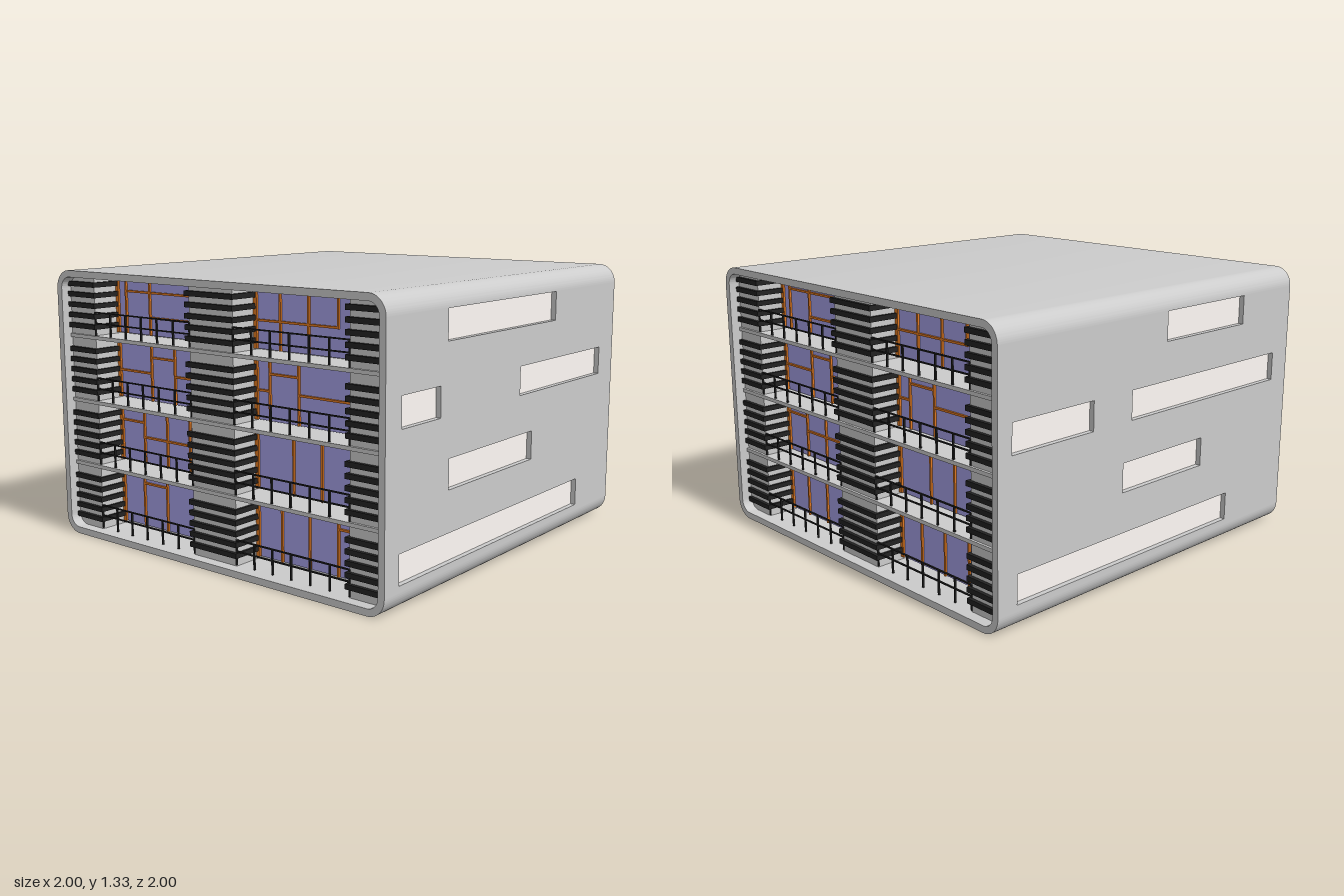
import * as THREE from 'three';
import { toCreasedNormals } from 'three/addons/utils/BufferGeometryUtils.js';

const H = 1.325, R = 0.09, T = 0.033; // shell height, corner radius, wall thickness
const mat = (color) => new THREE.MeshStandardMaterial({ color });
const M = {
  grey: mat(0xcccccc), pane: mat(0xfffaf6), glass: mat(0xa49fe6),
  frame: mat(0xe07820), dark: mat(0x222222),
};

function add(parent, name, geo, material) {
  const mesh = new THREE.Mesh(geo, material);
  mesh.name = name;
  parent.add(mesh);
  return mesh;
}

// Box given by its extents on each axis
function box(parent, name, material, [x0, x1], [y0, y1], [z0, z1]) {
  const mesh = add(parent, name, new THREE.BoxGeometry(x1 - x0, y1 - y0, z1 - z0), material);
  mesh.position.set((x0 + x1) / 2, (y0 + y1) / 2, (z0 + z1) / 2);
  return mesh;
}

// Roof slab with rounded edges, extruded along x (also used upside down as the base)
function capGeometry() {
  const s = new THREE.Shape(), r = R - T, c = 1 - R;
  s.moveTo(1, -R);
  s.absarc(c, -R, R, 0, Math.PI / 2, false);
  s.lineTo(-c, 0);
  s.absarc(-c, -R, R, Math.PI / 2, Math.PI, false);
  s.lineTo(-1 + T, -R);
  s.absarc(-c, -R, r, Math.PI, Math.PI / 2, true);
  s.lineTo(c, -T);
  s.absarc(c, -R, r, Math.PI / 2, 0, true);
  s.closePath();
  const g = new THREE.ExtrudeGeometry(s, { depth: 2, bevelEnabled: false, curveSegments: 16 });
  g.translate(0, 0, -1).rotateY(Math.PI / 2);
  return toCreasedNormals(g, 0.6);
}

// Side wall facing +z with strip windows: [x0, x1, y0, y1]
function sideWall(name, windows) {
  const wall = new THREE.Group();
  wall.name = name;
  const s = new THREE.Shape();
  s.moveTo(-1, R).lineTo(1, R).lineTo(1, H - R).lineTo(-1, H - R).closePath();
  for (const [x0, x1, y0, y1] of windows) {
    const h = new THREE.Path();
    h.moveTo(x0, y0).lineTo(x0, y1).lineTo(x1, y1).lineTo(x1, y0).closePath();
    s.holes.push(h);
    box(wall, 'stripWindow', M.pane, [x0, x1], [y0, y1], [1 - T, 1 - T + 0.008]);
  }
  const g = new THREE.ExtrudeGeometry(s, { depth: T, bevelEnabled: false });
  g.translate(0, 0, 1 - T);
  add(wall, 'wallPanel', g, M.grey);
  return wall;
}

// Window bars per storey (bottom up) and bay. Coordinates are fractions of the bay:
// v = [across, from, to] upright bars, h = [up, from, to] level bars
const BARS = [
  [{ v: [[0.25, 0, 1], [0.5, 0, 1]], h: [[0.76, 0.25, 0.5]] },
   { v: [[0.24, 0, 1], [0.49, 0, 1], [0.74, 0, 1]], h: [[0.75, 0.74, 1]] }],
  [{ v: [[0.27, 0, 1], [0.52, 0, 1], [0.76, 0, 1]], h: [[0.71, 0, 0.27], [0.46, 0.27, 1]] },
   { v: [[0.35, 0, 1], [0.6, 0, 1]], h: [] }],
  [{ v: [[0.37, 0, 1], [0.62, 0, 1]], h: [[0.47, 0, 0.37], [0.74, 0.37, 0.62], [0.47, 0.62, 1]] },
   { v: [[0.14, 0, 1], [0.4, 0, 1]], h: [[0.47, 0, 0.14], [0.74, 0.14, 0.4], [0.47, 0.4, 1]] }],
  [{ v: [[0.11, 0, 1], [0.37, 0, 1]], h: [[0.77, 0.11, 1], [0.32, 0.37, 1]] },
   { v: [[0.24, 0, 1], [0.49, 0, 1], [0.74, 0.46, 1]], h: [[0.48, 0, 0.74]] }],
];
const BAYS = [[0.79, 0.14], [-0.13, -0.78]];
const PIERS = [[0.79, 1 - T], [-0.13, 0.14], [-1 + T, -0.78]];

// Glazed bay with bars and a railing; z runs from a down to b
function bay(parent, [a, b], y0, y1, bars) {
  const g = new THREE.Group();
  g.name = 'balconyBay';
  parent.add(g);
  const z = (f) => a + (b - a) * f, y = (f) => y0 + (y1 - y0) * f;
  const barX = [0.795, 0.812], w = 0.005;
  box(g, 'glazing', M.glass, [0.785, 0.802], [y0, y1], [b, a]);
  for (const [f, p, q] of [[0.015, 0, 1], [0.985, 0, 1]])
    box(g, 'windowJamb', M.frame, barX, [y(p), y(q)], [z(f) - 0.01, z(f) + 0.01]);
  for (const [f, p, q] of bars.v)
    box(g, 'uprightBar', M.frame, barX, [y(p), y(q)], [z(f) - w, z(f) + w]);
  for (const [f, p, q] of bars.h)
    box(g, 'levelBar', M.frame, barX, [y(f) - w, y(f) + w], [z(q), z(p)]);
  // Railing
  for (let i = 0; i <= 6; i++)
    box(g, 'railingPost', M.dark, [0.94, 0.948], [y0 - 0.01, y0 + 0.11], [z(i / 6) - 0.004, z(i / 6) + 0.004]);
  for (const h of [0.055, 0.108])
    box(g, 'railing', M.dark, [0.94, 0.948], [y0 + h - 0.003, y0 + h + 0.003], [b, a]);
}

// Open end of the building, facing +x
function endFacade(name) {
  const end = new THREE.Group();
  end.name = name;
  for (let i = 0; i < 4; i++) {
    const y0 = 0.048 + 0.3225 * i, y1 = Math.min(y0 + 0.29, H - T - 0.008);
    if (i) box(end, 'floorSlab', M.grey, [0.76, 0.957], [y0 - 0.024, y0 - 0.006], [-1 + T, 1 - T]);
    BAYS.forEach((range, k) => bay(end, range, y0, y1, BARS[i][k]));
    // Slats wrapping the piers
    for (const [z0, z1] of PIERS) {
      const e0 = z0 < -0.9 ? 0 : 0.013, e1 = z1 > 0.9 ? 0 : 0.013;
      for (let j = 0; j < 5; j++) {
        const y = y0 + 0.037 + 0.051 * j;
        box(end, 'slat', M.dark, [0.79, 0.962], [y - 0.012, y + 0.012], [z0 - e0, z1 + e1]);
      }
    }
  }
  for (const p of PIERS) box(end, 'pier', M.grey, [0.76, 0.945], [T, H - T], p);
  return end;
}

export function createModel() {
  const model = new THREE.Group();
  model.name = 'apartmentBlock';

  // Shell
  const cap = capGeometry();
  add(model, 'roof', cap, M.grey).position.y = H;
  add(model, 'base', cap, M.grey).rotation.x = Math.PI;
  model.add(sideWall('frontWall', [
    [-0.56, 0.37, 1.095, 1.233], [-0.89, -0.61, 0.775, 0.912], [0.05, 0.85, 0.775, 0.912],
    [-0.54, 0.17, 0.45, 0.588], [-0.9, 0.645, 0.12, 0.257],
  ]));
  const back = sideWall('backWall', [
    [0.04, 0.61, 1.095, 1.233], [-0.92, -0.44, 0.775, 0.912], [-0.19, 0.88, 0.775, 0.912],
    [-0.24, 0.32, 0.45, 0.588], [-0.89, 0.54, 0.12, 0.257],
  ]);
  back.rotation.y = Math.PI;
  model.add(back);

  // Solid core behind the end facades
  box(model, 'core', M.grey, [-0.78, 0.78], [T, H - T], [-1 + T, 1 - T]);

  // Two open ends
  const right = endFacade('leftEnd'), left = endFacade('rightEnd');
  left.rotation.y = Math.PI;
  model.add(right, left);
  return model;
}
